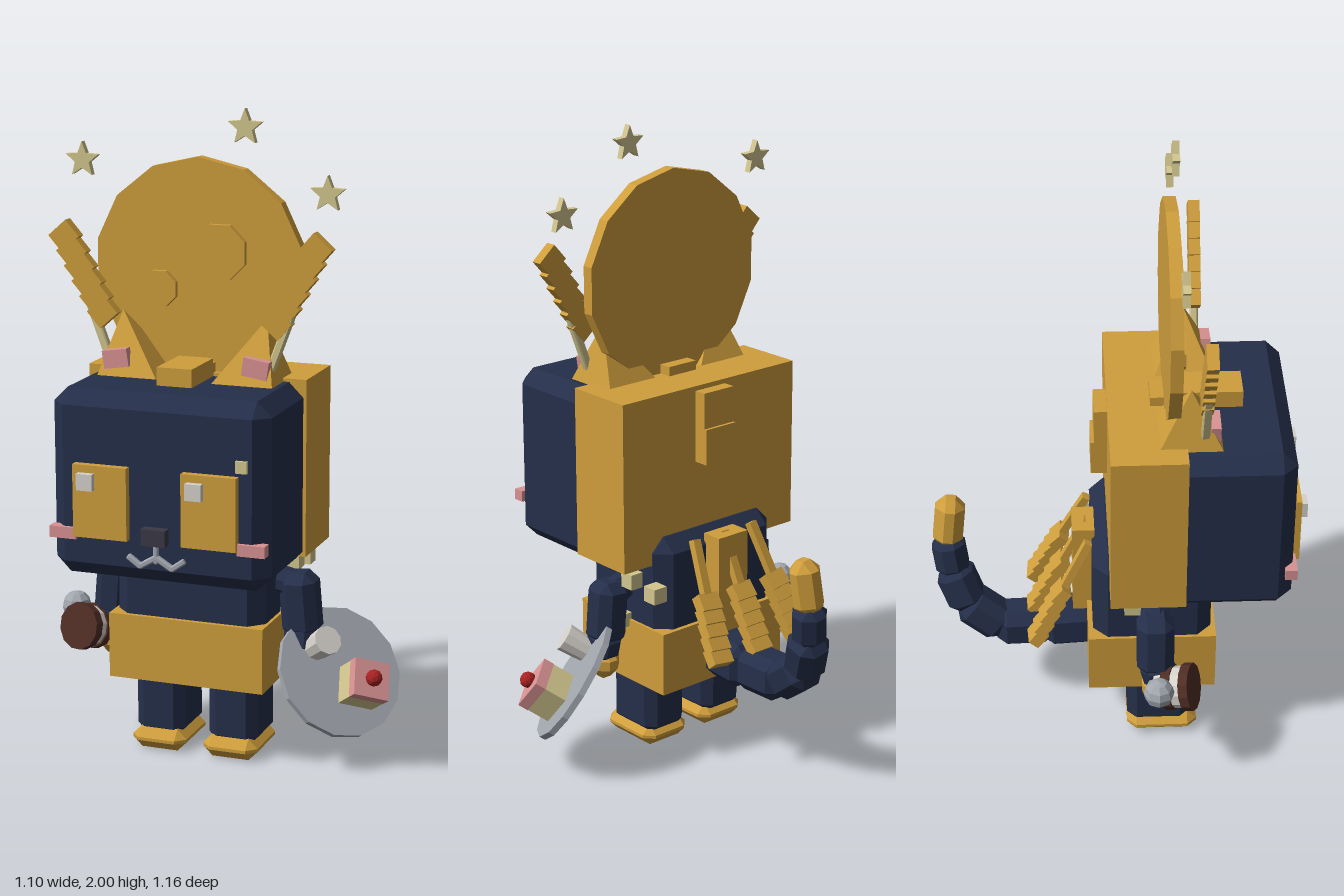
import * as THREE from 'three';
import { ConvexGeometry } from 'three/addons/geometries/ConvexGeometry.js';

const mat = (name, color, extra = {}) => {
  const m = new THREE.MeshStandardMaterial({ color, ...extra });
  m.name = name;
  return m;
};
const V = (x, y, z) => new THREE.Vector3(x, y, z);
const UP = V(0, 1, 0);

// Box with all edges cut off at 45 degrees
function chamferBox(w, h, d, c) {
  const pts = [];
  for (const sx of [-1, 1]) for (const sy of [-1, 1]) for (const sz of [-1, 1]) {
    const x = w / 2, y = h / 2, z = d / 2;
    pts.push(V(sx * x, sy * (y - c), sz * (z - c)));
    pts.push(V(sx * (x - c), sy * y, sz * (z - c)));
    pts.push(V(sx * (x - c), sy * (y - c), sz * z));
  }
  return new ConvexGeometry(pts);
}

export function createModel() {
  const model = new THREE.Group();
  model.name = 'catFigure';
  const navy = mat('navy', 0x252f4a), gold = mat('gold', 0xcf9e3c), cream = mat('cream', 0xd3c78f);
  const pink = mat('pink', 0xd99292), steel = mat('steel', 0xa2a7af), white = mat('white', 0xd6d2cc);
  const brown = mat('brown', 0x4f2d25), charcoal = mat('charcoal', 0x3a3845), red = mat('red', 0xa82222);
  for (const m of [navy, gold, cream, pink, steel, white, brown, charcoal, red]) m.flatShading = true;

  const CX = -0.06; // the body's own centre line
  const add = (name, geo, m, x = 0, y = 0, z = 0, parent = model) => {
    const mesh = new THREE.Mesh(geo, m);
    mesh.name = name;
    mesh.position.set(x, y, z);
    parent.add(mesh);
    return mesh;
  };
  // Box given by its limits on each axis
  const block = (name, m, x0, x1, y0, y1, z0, z1, c = 0) => {
    const s = [x1 - x0, y1 - y0, z1 - z0];
    const geo = c ? chamferBox(...s, c) : new THREE.BoxGeometry(...s);
    return add(name, geo, m, (x0 + x1) / 2, (y0 + y1) / 2, (z0 + z1) / 2);
  };
  // Chamfered limb piece between two points
  const limb = (name, m, a, b, w, c = 0.03, extra = 0.03) => {
    const dir = b.clone().sub(a), mid = a.clone().add(b).multiplyScalar(0.5);
    const mesh = add(name, chamferBox(w, dir.length() + extra, w, c), m, mid.x, mid.y, mid.z);
    mesh.quaternion.setFromUnitVectors(UP, dir.normalize());
    return mesh;
  };

  // Head and hood
  block('head', navy, -0.40, 0.28, 0.635, 1.20, 0.02, 0.535, 0.045);
  block('hood', gold, -0.41, 0.29, 0.665, 1.21, -0.02, 0.21);
  block('hoodCrest', gold, -0.115, -0.005, 1.19, 1.255, 0.21, 0.39);
  block('hoodRidge', gold, -0.115, -0.005, 1.2, 1.24, 0.11, 0.21);
  block('hoodBackUpper', gold, -0.12, 0, 1.08, 1.195, -0.06, 0);
  block('hoodBackLower', gold, -0.12, 0, 0.965, 1.08, -0.07, 0);

  // Torso and skirt
  block('torso', navy, -0.30, 0.18, 0.26, 0.75, -0.07, 0.30, 0.045);
  block('skirt', gold, -0.31, 0.19, 0.25, 0.455, -0.085, 0.315);
  block('backPlate', gold, -0.12, 0, 0.42, 0.74, -0.13, -0.06);

  // Paired parts, mirrored about the centre line
  for (const s of [-1, 1]) {
    const X = (x) => CX + s * x;
    const span = (name, m, a, b, ...rest) =>
      block(name, m, Math.min(X(a), X(b)), Math.max(X(a), X(b)), ...rest);
    span('leg', navy, 0.04, 0.2, 0.04, 0.28, 0.04, 0.24, 0.03);
    span('foot', gold, 0.028, 0.207, 0, 0.07, 0.04, 0.265, 0.03);
    span('eye', gold, 0.085, 0.255, 0.765, 0.985, 0.52, 0.56);
    span('cheek', pink, 0.253, 0.338, 0.752, 0.787, 0.51, 0.547);
    add('eyeGlint', new THREE.BoxGeometry(0.05, 0.05, 0.03), white, s < 0 ? -0.27 : 0.07, 0.937, 0.565);

    // Ears lean outwards
    const ear = new THREE.ConeGeometry(0.143, 0.2, 4, 1).rotateY(Math.PI / 4);
    const p = ear.attributes.position;
    for (let i = 0; i < p.count; i++) if (p.getY(i) > 0) p.setX(i, p.getX(i) + s * 0.05);
    add('ear', ear, gold, X(0.18), 1.288, 0.22);
    add('innerEar', new THREE.BoxGeometry(0.08, 0.055, 0.03), pink, X(0.222), 1.252, 0.293).rotation.z = -s * 0.15;

    // Stepped feather beside each ear
    limb('featherStem', cream, V(X(0.24), 1.2, 0.262), V(X(0.33), 1.44, 0.262), 0.025, 0.004);
    for (let i = 0; i < 6; i++) {
      const f = add('featherStep', new THREE.BoxGeometry(0.075, 0.065, 0.035), gold,
        X(0.275 + i * 0.0245), 1.385 + i * 0.045, 0.262);
      f.rotation.z = -s * 0.72;
    }

    // Arms with paws
    limb('upperArm', navy, V(X(0.30), 0.575, 0.12), V(X(0.315), 0.40, 0.12), 0.115);
    limb('shoulder', navy, V(X(0.22), 0.56, 0.12), V(X(0.31), 0.54, 0.12), 0.09);
    limb('forearm', navy, V(X(0.315), 0.42, 0.12), V(X(0.315), 0.34, 0.14), 0.105);
    add('paw', chamferBox(0.1, 0.1, 0.1, 0.035), gold, X(0.315), 0.315, 0.13);
    add('shoulderBead', new THREE.BoxGeometry(0.05, 0.05, 0.05), cream, X(0.26), 0.605, 0.05);
  }
  add('backBead', new THREE.BoxGeometry(0.05, 0.05, 0.05), cream, 0.2, 0.59, -0.06);
  add('hipBead', new THREE.BoxGeometry(0.04, 0.045, 0.04), cream, 0.2, 0.455, 0.1);
  add('foreheadBead', new THREE.BoxGeometry(0.036, 0.036, 0.03), cream, 0.205, 1.015, 0.53);

  // Nose and mouth
  block('nose', charcoal, -0.098, -0.022, 0.76, 0.81, 0.52, 0.567);
  const mouth = [[-0.145, 0.715], [-0.11, 0.69], [-0.06, 0.72], [-0.01, 0.69], [0.025, 0.715]];
  for (let i = 0; i < 4; i++) {
    limb('mouth', steel, V(...mouth[i], 0.54), V(...mouth[i + 1], 0.54), 0.018, 0.004, 0.01);
  }
  limb('mouthLine', steel, V(CX, 0.715, 0.54), V(CX, 0.765, 0.54), 0.016, 0.004);

  // Moon disc with craters
  const disc = (name, r, h, n, m, x, y, z) =>
    add(name, new THREE.CylinderGeometry(r, r, h, n).rotateX(Math.PI / 2), m, x, y, z);
  disc('moon', 0.333, 0.038, 14, gold, CX, 1.52, 0.17);
  disc('craterLarge', 0.088, 0.03, 8, gold, 0.012, 1.575, 0.192).rotation.z = Math.PI / 8;
  disc('craterSmall', 0.058, 0.03, 8, gold, -0.18, 1.455, 0.192).rotation.z = Math.PI / 8;

  // Stars
  const starShape = new THREE.Shape();
  for (let i = 0; i < 10; i++) {
    const r = i % 2 ? 0.024 : 0.055, a = Math.PI / 2 + (i * Math.PI) / 5;
    starShape[i ? 'lineTo' : 'moveTo'](r * Math.cos(a), r * Math.sin(a));
  }
  const starGeo = new THREE.ExtrudeGeometry(starShape, { depth: 0.022, bevelEnabled: false });
  for (const [x, y] of [[-0.43, 1.83], [0.09, 1.945], [0.345, 1.76]]) add('star', starGeo, cream, x, y, 0.176);

  // Three stepped feathers on the back
  for (const k of [-1, 0, 1]) {
    const plume = new THREE.Group();
    plume.name = 'backFeather';
    plume.position.set(CX + k * 0.12, 0.72, -0.09);
    plume.rotation.set(0.46, 0, k * 0.12);
    model.add(plume);
    add('plumeStem', new THREE.BoxGeometry(0.028, 0.2, 0.025), gold, 0, -0.08, 0, plume);
    for (let i = 0; i < 5; i++) {
      const b = add('plumeStep', new THREE.BoxGeometry(0.075, 0.055, 0.038), gold, 0, -0.18 - i * 0.042, 0, plume);
      b.rotation.x = 0.25;
    }
  }

  // Tail
  const tail = [[-0.06, 0.335, -0.05], [-0.06, 0.325, -0.21], [-0.065, 0.325, -0.36], [-0.05, 0.405, -0.465],
    [-0.025, 0.52, -0.51], [-0.01, 0.63, -0.525], [0.003, 0.77, -0.51]].map((q) => V(...q));
  const widths = [0.145, 0.135, 0.125, 0.12, 0.105, 0.095];
  for (let i = 0; i < 6; i++) limb(i < 5 ? 'tailSegment' : 'tailTip', i < 5 ? navy : gold, tail[i], tail[i + 1], widths[i], 0.032, 0.035);

  // Tray with cake and cup
  const tray = new THREE.Group();
  tray.name = 'tray';
  tray.position.set(0.375, 0.285, 0.13);
  const n = V(0.64, 0.54, 0.54).normalize();
  tray.quaternion.setFromUnitVectors(UP, n);
  model.add(tray);
  add('plate', new THREE.CylinderGeometry(0.207, 0.207, 0.02, 14), steel, 0, 0, 0, tray);
  const toTray = (x, y, z) => V(x, y, z).sub(tray.position).applyQuaternion(tray.quaternion.clone().invert());
  const c = toTray(0.505, 0.302, 0.195), cup = toTray(0.34, 0.39, 0.18);
  const turn = 0.5;
  add('cakeBase', new THREE.BoxGeometry(0.115, 0.075, 0.115), cream, c.x, 0.045, c.z, tray).rotation.y = turn;
  add('cakeIcing', new THREE.BoxGeometry(0.117, 0.035, 0.117), pink, c.x, 0.1, c.z, tray).rotation.y = turn;
  add('cherry', new THREE.IcosahedronGeometry(0.026, 1), red, c.x, 0.13, c.z, tray);
  add('cup', new THREE.CylinderGeometry(0.045, 0.04, 0.085, 10), white, cup.x, 0.05, cup.z, tray);

  // Layered biscuit and ball in the other paw
  const biscuit = new THREE.Group();
  biscuit.name = 'biscuit';
  biscuit.position.set(-0.435, 0.36, 0.19);
  biscuit.quaternion.setFromUnitVectors(UP, V(-0.3, 0.25, 1).normalize());
  model.add(biscuit);
  [[brown, 0.075, 0.035], [white, 0.066, 0.005], [brown, 0.072, -0.025], [white, 0.06, -0.05]].forEach(([m, r, y]) =>
    add('layer', new THREE.CylinderGeometry(r, r, 0.03, 12), m, 0, y, 0, biscuit));
  limb('ballHandle', steel, V(-0.40, 0.34, 0.13), V(-0.49, 0.39, 0.125), 0.045, 0.01);
  add('ball', new THREE.SphereGeometry(0.048, 8, 6), steel, -0.503, 0.4, 0.125);
  return model;
}
